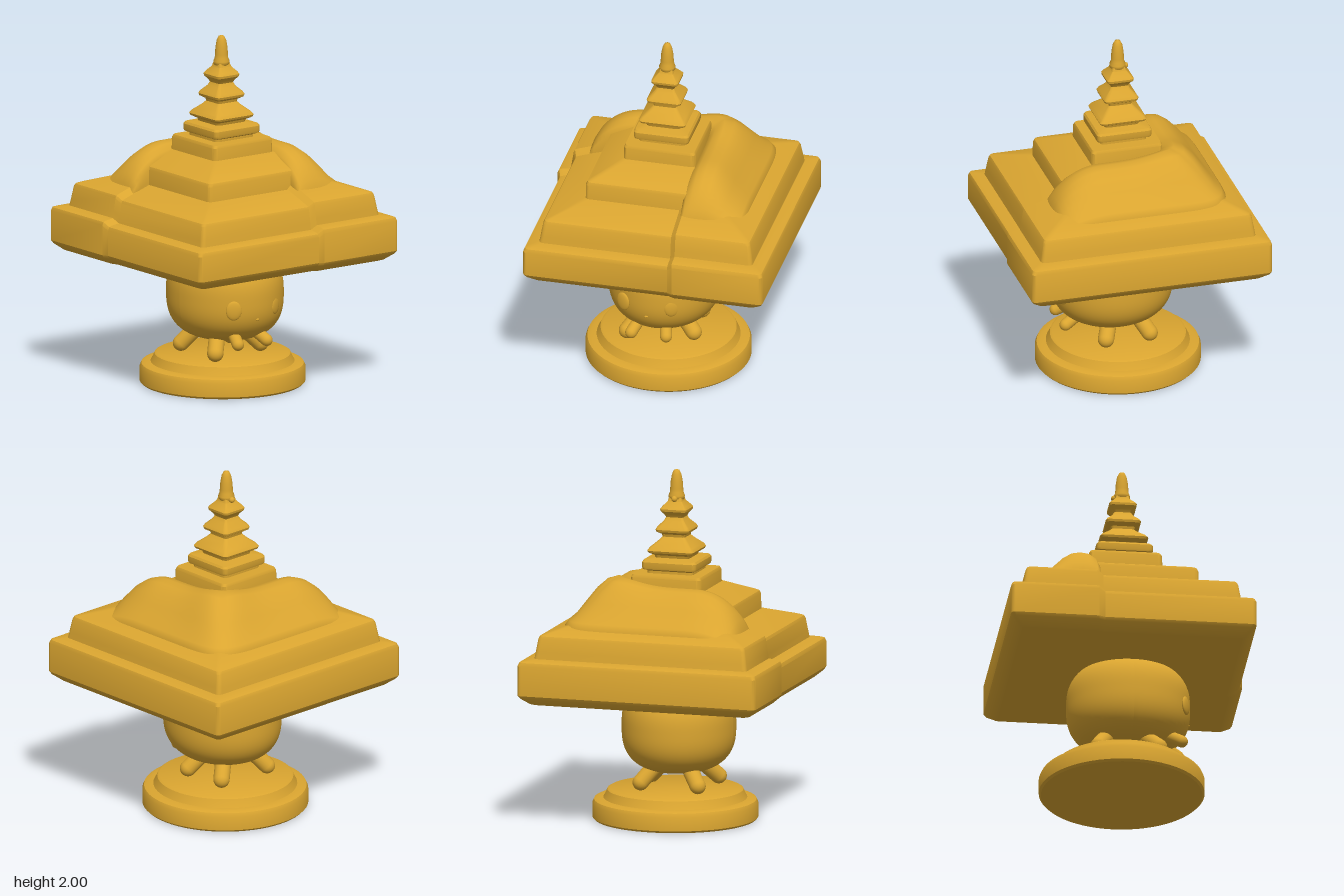
import * as THREE from 'three';
import { toCreasedNormals } from 'three/addons/utils/BufferGeometryUtils.js';

const gold = new THREE.MeshStandardMaterial({ color: 0xdaa530 });
gold.name = 'gold';
const goldCloth = gold.clone();
goldCloth.name = 'gold two-sided';
goldCloth.side = THREE.DoubleSide;

function add(parent, name, geometry, material = gold) {
  const mesh = new THREE.Mesh(geometry, material);
  mesh.name = name;
  parent.add(mesh);
  return mesh;
}

// Skin rows of points with quads; closed joins each row's end to its start
function skin(rows, closed) {
  const n = rows[0].length, index = [];
  const cols = closed ? n : n - 1;
  for (let j = 0; j < rows.length - 1; j++) {
    for (let i = 0; i < cols; i++) {
      const k = (i + 1) % n;
      const a = j * n + i, b = j * n + k, c = a + n, d = b + n;
      index.push(a, b, d, a, d, c);
    }
  }
  const geo = new THREE.BufferGeometry();
  geo.setAttribute('position', new THREE.Float32BufferAttribute(rows.flat(2), 3));
  geo.setIndex(index);
  return geo;
}

// Rounded square ring; draped rings are slightly thicker on the back and left
function squareRing(half, y, draped) {
  const r = Math.min(0.025, half * 0.25), c = half - r, ring = [];
  const clamp = v => Math.max(-half, Math.min(half, v));
  for (let k = 0; k < 4; k++) {
    const sx = k === 0 || k === 3 ? 1 : -1, sz = k < 2 ? -1 : 1;
    for (let i = 0; i <= 4; i++) {
      const a = (k + i / 4) * Math.PI / 2;
      ring.push([sx * c + r * Math.cos(a), y, sz * c - r * Math.sin(a)]);
    }
    if (draped && k === 1) ring.push([-half, y, clamp(-0.2)], [-half, y, clamp(-0.17)]);
    if (draped && k === 2) ring.push([clamp(0.15), y, half], [clamp(0.175), y, half]);
  }
  if (draped && half > 0) {
    for (const p of ring) {
      if (p[0] > 0.165 || p[2] < -0.185) {
        const s = (half + 0.015) / half;
        p[0] *= s;
        p[2] *= s;
        if (y > 0.9) p[1] += 0.025;
      }
    }
  }
  return ring;
}

function squareTier(profile, draped = false) {
  const rows = profile.map(([half, y]) => squareRing(half, y, draped));
  return toCreasedNormals(skin(rows, true), 0.5);
}

// Thick folded drape running round the back and left of the roof
function drapeGeometry() {
  const section = [[0.17, 1.06], [0.17, 1.2], [0.172, 1.29], [0.19, 1.335], [0.225, 1.362], [0.27, 1.37],
    [0.32, 1.36], [0.37, 1.325], [0.42, 1.27], [0.47, 1.21], [0.505, 1.18], [0.525, 1.15], [0.53, 1.09]];
  const rows = [], N = 32;
  for (let j = -N; j <= N; j++) {
    const t = j / N;
    rows.push(section.map(([d, y]) => {
      const end = t < 0 ? -0.5 : 0.53;
      const along = THREE.MathUtils.lerp(d, -Math.abs(end), Math.abs(t));
      let x = t < 0 ? d : along, z = t < 0 ? -along : -d;
      if (x > 0 && z < 0) {
        const s = d / Math.pow(Math.pow(x, 7) + Math.pow(-z, 7), 1 / 7);
        x *= s;
        z *= s;
      }
      // the height falls off in a rounded slope at both ends
      const e = THREE.MathUtils.clamp((along + Math.abs(end)) / 0.33, 0, 1);
      const fall = Math.pow(1 - Math.pow(1 - e, 2.2), 0.6);
      const corner = 0.045 * Math.exp(-Math.pow((along - 0.24) / 0.16, 2));
      const crest = Math.max(0, 1 - Math.abs(d - 0.28) / 0.2);
      return [x, 1.06 + (y - 1.06) * fall + corner * crest, z];
    }));
  }
  const geo = skin(rows, false);
  geo.computeVertexNormals();
  return geo;
}

// Rounded limb between two points
function limb(parent, name, from, to, radius) {
  const a = new THREE.Vector3(...from), b = new THREE.Vector3(...to);
  const dir = b.clone().sub(a);
  const mesh = add(parent, name, new THREE.CapsuleGeometry(radius, dir.length(), 8, 20));
  mesh.position.copy(a).add(b).multiplyScalar(0.5);
  mesh.quaternion.setFromUnitVectors(new THREE.Vector3(0, 1, 0), dir.normalize());
}

function lathe(points, segments = 64) {
  return new THREE.LatheGeometry(points.map(p => new THREE.Vector2(...p)), segments);
}

function createModel() {
  const model = new THREE.Group();
  model.name = 'roofedFigure';

  // Round stepped pedestal
  const pedestal = add(model, 'pedestal', toCreasedNormals(lathe([
    [0, 0], [0.455, 0], [0.467, 0.012], [0.467, 0.09], [0.457, 0.112], [0.435, 0.12],
    [0.405, 0.122], [0.395, 0.14], [0.383, 0.168], [0.37, 0.175], [0, 0.175]]), 0.6));
  pedestal.position.x = -0.01;

  // Plump body with flattened top and bottom
  const bodyGeo = new THREE.SphereGeometry(1, 64, 48);
  const pos = bodyGeo.attributes.position;
  for (let i = 0; i < pos.count; i++) {
    const x = pos.getX(i), y = pos.getY(i), z = pos.getZ(i), n = 2.7;
    const s = 1 / Math.pow(Math.pow(Math.hypot(x, z), n) + Math.pow(Math.abs(y), n), 1 / n);
    pos.setXYZ(i, x * s * 0.32, y * s * 0.265, z * s * 0.35);
  }
  bodyGeo.computeVertexNormals();
  add(model, 'body', bodyGeo).position.set(-0.02, 0.53, 0.035);

  // Face
  for (const side of [-1, 1]) {
    const eye = add(model, side < 0 ? 'rightEye' : 'leftEye', new THREE.SphereGeometry(1, 24, 16));
    eye.scale.set(0.045, 0.055, 0.014);
    eye.position.set(-0.047 + side * 0.142, 0.492, side < 0 ? 0.342 : 0.35);
    eye.rotation.y = side * 0.48;
  }
  const mouth = add(model, 'mouth', new THREE.SphereGeometry(1, 12, 8));
  mouth.scale.set(0.012, 0.006, 0.006);
  mouth.position.set(-0.047, 0.43, 0.377);

  // Arms and feet
  limb(model, 'rightArm', [-0.12, 0.33, 0.25], [-0.147, 0.288, 0.325], 0.034);
  limb(model, 'leftArm', [0.035, 0.33, 0.25], [0.055, 0.288, 0.325], 0.034);
  limb(model, 'rightFrontFoot', [-0.14, 0.3, 0.12], [-0.205, 0.22, 0.19], 0.046);
  limb(model, 'leftFrontFoot', [0.09, 0.3, 0.08], [0.165, 0.22, 0.12], 0.046);
  limb(model, 'rightBackFoot', [-0.13, 0.3, -0.1], [-0.19, 0.22, -0.15], 0.046);
  limb(model, 'leftBackFoot', [0.09, 0.3, -0.09], [0.15, 0.22, -0.14], 0.046);

  // Stepped square roof
  const roof = new THREE.Group();
  roof.name = 'roof';
  model.add(roof);
  add(roof, 'eaves', squareTier([[0, 0.725], [0.615, 0.725], [0.635, 0.732], [0.678, 0.768], [0.688, 0.785],
    [0.688, 0.93], [0.68, 0.95], [0.66, 0.957], [0.6, 0.965], [0, 0.965]], true));
  add(roof, 'middleTier', squareTier([[0.615, 0.95], [0.607, 1.0], [0.595, 1.075], [0.588, 1.09],
    [0.565, 1.1], [0.4, 1.155], [0, 1.155]], true));
  const upper = add(roof, 'upperTier', squareTier([[0.395, 1.1], [0.392, 1.24], [0.385, 1.258],
    [0.37, 1.267], [0.22, 1.335], [0, 1.335]]));
  upper.position.x = -0.005;
  const block = add(roof, 'spireBlock', squareTier([[0.21, 1.3], [0.207, 1.405], [0.2, 1.42], [0, 1.422]]));
  block.position.x = -0.015;
  add(roof, 'drape', drapeGeometry(), goldCloth);

  // Tiered spire with a round finial
  const spire = new THREE.Group();
  spire.name = 'spire';
  spire.position.x = -0.018;
  model.add(spire);
  add(spire, 'spireTiers', squareTier([
    [0.135, 1.41], [0.135, 1.435], [0.157, 1.445], [0.16, 1.455], [0.16, 1.485], [0.152, 1.497],
    [0.1, 1.505], [0.105, 1.52], [0.132, 1.535], [0.137, 1.547], [0.125, 1.565], [0.085, 1.6],
    [0.066, 1.62], [0.07, 1.635], [0.096, 1.65], [0.1, 1.663], [0.092, 1.678], [0.06, 1.71],
    [0.05, 1.73], [0.058, 1.745], [0.076, 1.765], [0.078, 1.778], [0.068, 1.792],
    [0.042, 1.82], [0.036, 1.84], [0, 1.84]]));
  add(spire, 'finial', lathe([[0.03, 1.815], [0.045, 1.835], [0.046, 1.85], [0.038, 1.87], [0.037, 1.89],
    [0.034, 1.93], [0.027, 1.97], [0.016, 1.993], [0, 2]], 32));
  const knob = add(spire, 'finialKnob', new THREE.SphereGeometry(0.017, 16, 12));
  knob.position.set(0, 1.835, -0.045);

  return model;
}

export { createModel };
